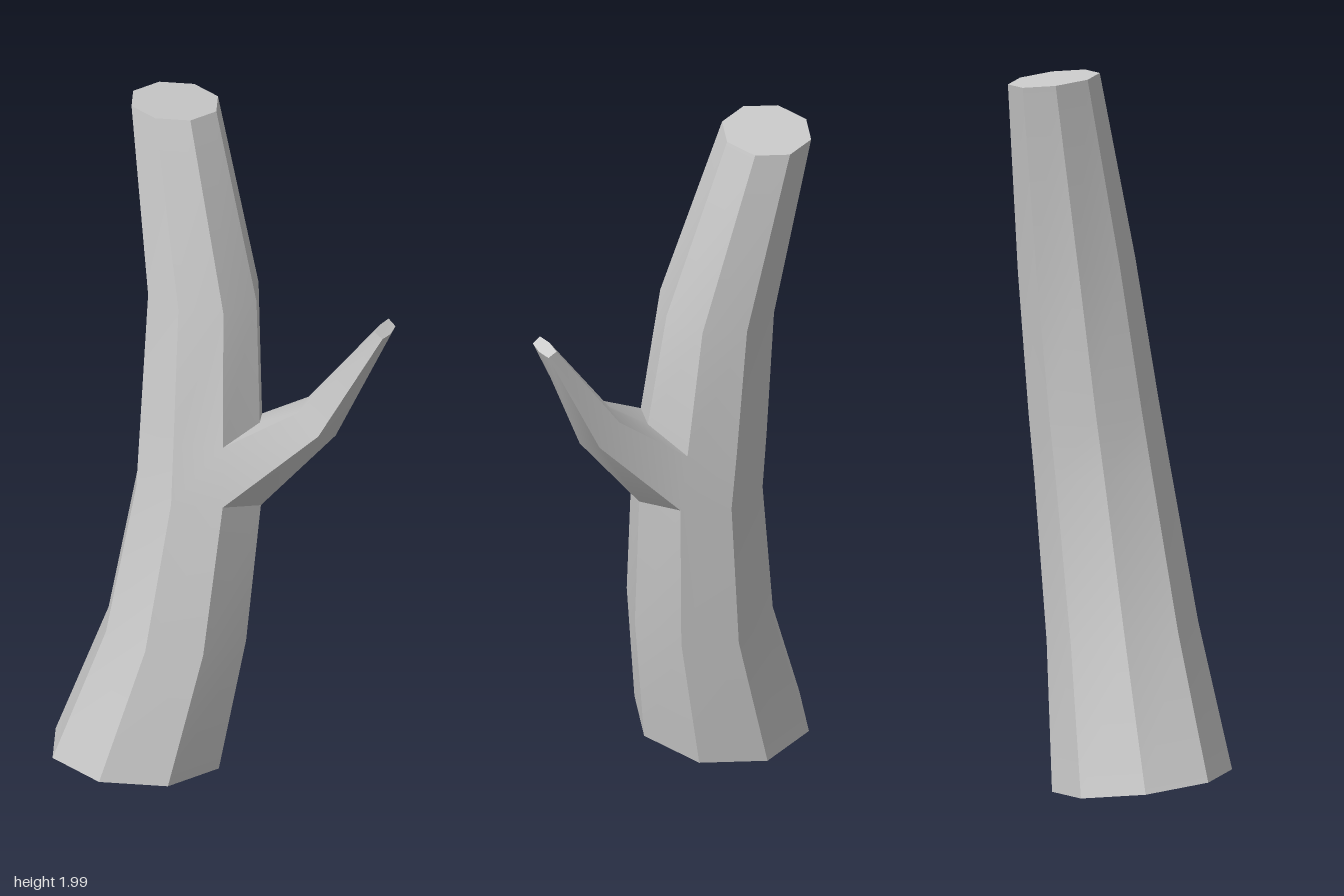
import * as THREE from 'three';
import { toCreasedNormals } from 'three/addons/utils/BufferGeometryUtils.js';

const SIDES = 8;
const TILT = 0.12; // every trunk ring rises slightly towards the front

// Octagonal ring: vertex 0 faces front, then runs towards +x. lift shifts the +x vertex.
function trunkRing([x, y, z, r, lift = 0]) {
  return Array.from({ length: SIDES }, (_, i) => {
    const a = (i / SIDES) * Math.PI * 2;
    const dz = r * Math.cos(a);
    return [x + r * Math.sin(a), y + TILT * dz + (i === 2 ? lift : 0), z + dz];
  });
}

export function createModel() {
  const positions = [];
  const tri = (a, b, c) => positions.push(...a, ...b, ...c);

  // Side walls between two matching loops; skip leaves an opening
  const bridge = (lower, upper, skip = () => false) => {
    lower.forEach((p, i) => {
      if (skip(i)) return;
      const j = (i + 1) % lower.length;
      tri(p, lower[j], upper[j]);
      tri(p, upper[j], upper[i]);
    });
  };
  const cap = (loop) => {
    for (let i = 1; i < loop.length - 1; i++) tri(loop[0], loop[i], loop[i + 1]);
  };

  // Trunk: centre x, y, z, radius, lift
  const rings = [
    [-0.22, 0.035, 0.06, 0.247],
    [-0.122, 0.435, 0.01, 0.208],
    [-0.08, 0.88, -0.045, 0.185, -0.035],
    [-0.087, 1.055, -0.068, 0.178, 0.04],
    [-0.102, 1.45, -0.115, 0.161],
    [-0.22, 1.985, -0.182, 0.126],
  ].map(trunkRing);
  for (let k = 0; k < rings.length - 1; k++) {
    // the branch grows from two faces on the +x side
    bridge(rings[k], rings[k + 1], (i) => k === 2 && (i === 1 || i === 2));
  }
  cap([...rings[0]].reverse());
  cap(rings[rings.length - 1]);

  // Branch: six-sided loops from the trunk opening to the elbow and the tip
  const [, , low, high] = rings;
  const loops = [
    [low[1], low[2], low[3], high[3], high[2], high[1]],
    [
      [0.295, 1.135, -0.01], [0.315, 1.105, -0.08], [0.29, 1.115, -0.145],
      [0.23, 1.18, -0.15], [0.22, 1.19, -0.09], [0.23, 1.19, -0.02],
    ],
    [
      [0.46, 1.457, -0.073], [0.465, 1.452, -0.115], [0.46, 1.452, -0.157],
      [0.437, 1.468, -0.162], [0.433, 1.473, -0.117], [0.437, 1.473, -0.073],
    ],
  ];
  bridge(loops[0], loops[1]);
  bridge(loops[1], loops[2]);
  cap(loops[2]);

  const geometry = new THREE.BufferGeometry();
  geometry.setAttribute('position', new THREE.Float32BufferAttribute(positions, 3));

  const mesh = new THREE.Mesh(
    toCreasedNormals(geometry, Math.PI / 6),
    new THREE.MeshStandardMaterial({ color: 0xcccccc })
  );
  mesh.name = 'trunkWithBranch';

  const group = new THREE.Group();
  group.name = 'deadTree';
  group.add(mesh);
  return group;
}
